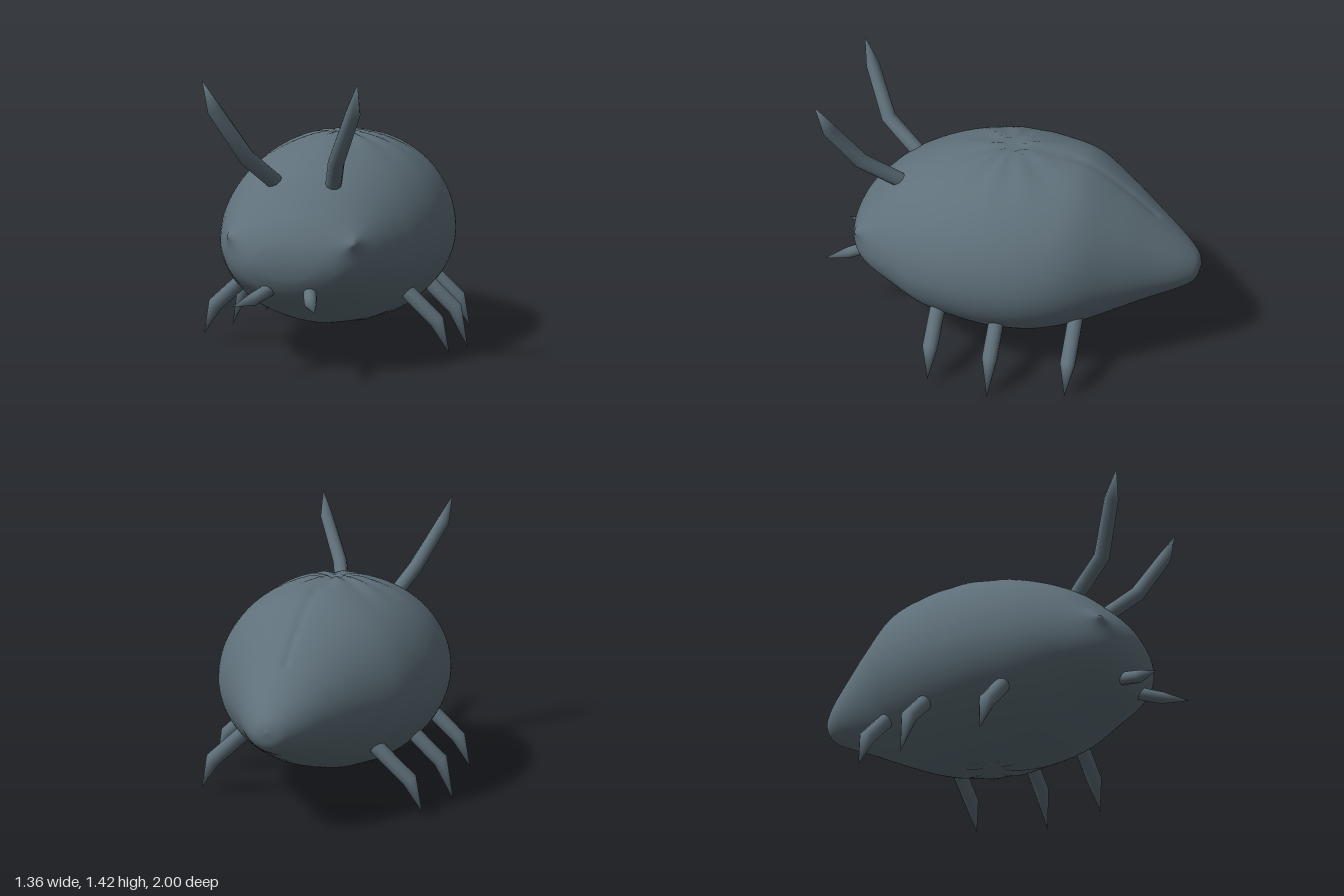
import * as THREE from 'three';
import { mergeVertices } from 'three/addons/utils/BufferGeometryUtils.js';

// Surface made of closed rings, point(i, j) gives each corner
function loft(rings, sides, point) {
  const pos = [], idx = [];
  for (let i = 0; i < rings; i++)
    for (let j = 0; j < sides; j++) {
      const p = point(i, j);
      pos.push(p.x, p.y, p.z);
      if (i < rings - 1) {
        const a = i * sides + j, b = i * sides + (j + 1) % sides;
        idx.push(a, b, a + sides, b, b + sides, a + sides);
      }
    }
  let g = new THREE.BufferGeometry();
  g.setAttribute('position', new THREE.Float32BufferAttribute(pos, 3));
  g.setIndex(idx);
  g = mergeVertices(g, 1e-5);
  g.computeVertexNormals();
  return g;
}

// Jointed limb along a path, one radius per joint
function limb(path, radii) {
  const pts = path.map(p => new THREE.Vector3(...p));
  const last = pts.length - 1;
  return loft(pts.length, 10, (i, j) => {
    const dir = pts[Math.min(i + 1, last)].clone().sub(pts[Math.max(i - 1, 0)]).normalize();
    const u = new THREE.Vector3(0, 0, 1).cross(dir);
    if (u.length() < 0.1) u.set(1, 0, 0);
    u.normalize();
    const v = dir.clone().cross(u);
    const a = j / 10 * Math.PI * 2;
    return pts[i].clone().addScaledVector(u, Math.cos(a) * radii[i]).addScaledVector(v, Math.sin(a) * radii[i]);
  });
}

// Body sections: z, half width, top, bottom
const sections = [
  [-1, 0, 0.55, 0.55], [-0.985, 0.06, 0.60, 0.485], [-0.95, 0.105, 0.645, 0.445], [-0.88, 0.165, 0.71, 0.41],
  [-0.75, 0.255, 0.82, 0.355], [-0.6, 0.36, 0.94, 0.285], [-0.4, 0.495, 1.07, 0.20], [-0.2, 0.565, 1.11, 0.147],
  [0, 0.585, 1.125, 0.13], [0.2, 0.57, 1.10, 0.15], [0.4, 0.52, 1.04, 0.19], [0.58, 0.435, 0.945, 0.275],
  [0.7, 0.36, 0.84, 0.335], [0.78, 0.28, 0.755, 0.39], [0.825, 0.19, 0.68, 0.46], [0.842, 0.1, 0.625, 0.52],
  [0.847, 0, 0.57, 0.57],
];

function bodyGeometry() {
  const shape = new THREE.CatmullRomCurve3(sections.map(s => new THREE.Vector3(s[1], s[2], s[3])), false, 'catmullrom', 0.5);
  const along = new THREE.CatmullRomCurve3(sections.map(s => new THREE.Vector3(s[0], 0, 0)), false, 'catmullrom', 0.5);
  const rings = 129, sides = 128;
  return loft(rings, sides, (i, j) => {
    const t = i / (rings - 1);
    const s = shape.getPoint(t), z = along.getPoint(t).x;
    const a = j / sides * Math.PI * 2, sn = Math.sin(a);
    const mid = s.z + (s.y - s.z) * 0.47;
    const p = new THREE.Vector3(Math.cos(a) * s.x, mid + sn * (sn > 0 ? s.y - mid : mid - s.z), z);
    // creases spreading from the middle of the back and the belly
    const r = Math.hypot(p.x, p.z), turn = Math.atan2(p.z, p.x);
    const fold = 0.008 * Math.sin(turn * 9 + Math.sin(turn * 2)) * Math.min(1, r / 0.08) * Math.exp(-r * r / 0.09);
    p.y += Math.sign(sn) * (fold - 0.015 * Math.exp(-r * r / 0.003));
    // seam along the rear of the back
    if (sn > 0 && z < -0.28 && z > -0.76) p.y -= 0.012 * Math.exp(-p.x * p.x / 0.0003);
    // pointed eye swellings
    if (z > 0.5) {
      const side = Math.sign(p.x);
      const d = Math.hypot(p.x - side * 0.3, p.y - 0.67);
      const push = 0.05 * Math.exp(-d / 0.045);
      p.x += side * push * 0.5;
      p.z += push * 0.85;
    }
    return p;
  });
}

export function createModel() {
  const group = new THREE.Group();
  const slate = new THREE.MeshStandardMaterial({ color: 0x5f707a });
  slate.name = 'slate shell';
  const add = (name, geometry) => {
    const mesh = new THREE.Mesh(geometry, slate);
    mesh.name = name;
    group.add(mesh);
  };

  add('body', bodyGeometry());

  for (const [side, label] of [[1, 'left'], [-1, 'right']]) {
    // three legs: z, knee x, knee y, tip x, tip y
    const legs = [
      ['Front', 0.295, 0.60, 0.215, 0.665, 0.055],
      ['Middle', side > 0 ? -0.025 : -0.125, 0.61, 0.215, 0.68, 0.01],
      ['Rear', -0.415, 0.53, 0.19, 0.595, 0.03],
    ];
    for (const [name, z, kx, ky, tx, ty] of legs)
      add(label + name + 'Leg', limb(
        [[side * (kx - 0.22), ky + 0.2, z], [side * kx, ky, z], [side * tx, ty, z]],
        [0.04, 0.04, 0]));

    add(label + 'Antenna', limb(
      [[side * 0.13, 0.88, 0.52], [side * 0.225, 1.05, 0.745], [side * 0.345, 1.29, 0.86], [side * 0.383, 1.43, 0.91]],
      [0.04, 0.04, 0.036, 0]));

    add(label + 'Mandible', limb(
      [[side * 0.08, 0.44, 0.72], [side * 0.145, 0.395, 0.885], [side * 0.205, 0.378, 1]],
      [0.034, 0.031, 0]));
  }
  return group;
}
